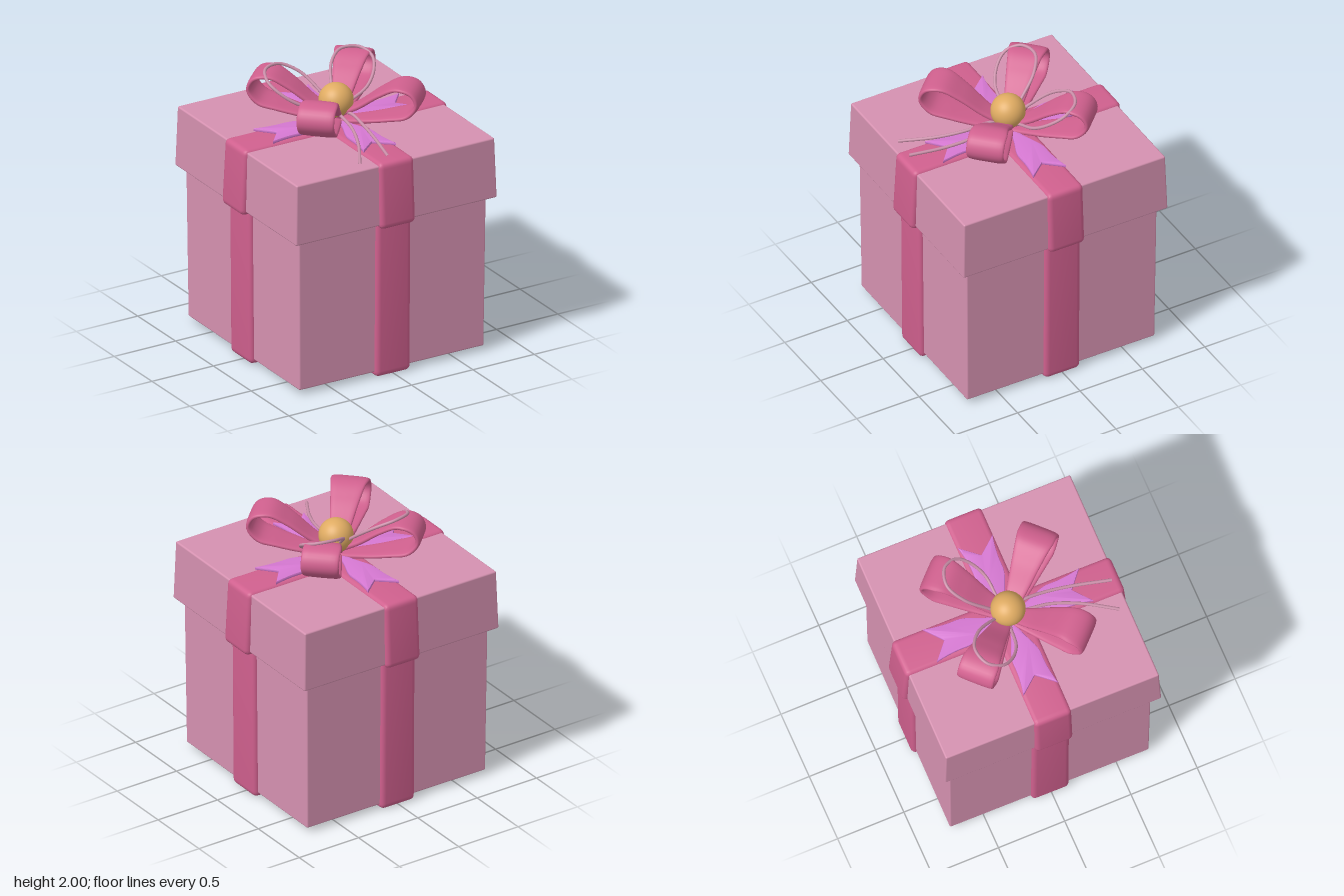
import * as THREE from 'three';
import { RoundedBoxGeometry } from 'three/addons/geometries/RoundedBoxGeometry.js';
import { toCreasedNormals } from 'three/addons/utils/BufferGeometryUtils.js';

const mat = (color) => new THREE.MeshStandardMaterial({ color, roughness: 0.7 });
const V = (x, y, z) => new THREE.Vector3(x, y, z);

function add(parent, name, geometry, material) {
  const mesh = new THREE.Mesh(geometry, material);
  mesh.name = name;
  parent.add(mesh);
  return mesh;
}

// Soft-edged box whose sides lean from one half width to another
function taperedBox(halfBottom, halfTop, y0, y1) {
  const geo = new RoundedBoxGeometry(2 * halfTop, y1 - y0, 2 * halfTop, 3, 0.012);
  geo.translate(0, (y0 + y1) / 2, 0);
  const p = geo.attributes.position;
  for (let i = 0; i < p.count; i++) {
    const t = (p.getY(i) - y0) / (y1 - y0);
    const s = THREE.MathUtils.lerp(halfBottom / halfTop, 1, t);
    p.setX(i, p.getX(i) * s);
    p.setZ(i, p.getZ(i) * s);
  }
  return geo;
}

// Trapezoid outline with rounded corners
function outline(path, hb, ht, y0, y1, r) {
  path.moveTo(-hb + r, y0);
  path.lineTo(hb - r, y0).quadraticCurveTo(hb, y0, hb, y0 + r);
  path.lineTo(ht, y1 - r).quadraticCurveTo(ht, y1, ht - r, y1);
  path.lineTo(-ht + r, y1).quadraticCurveTo(-ht, y1, -ht, y1 - r);
  path.lineTo(-hb, y0 + r).quadraticCurveTo(-hb, y0, -hb + r, y0);
  return path;
}

// Puffy ribbon band wrapped around a box
function band(hb, ht, y0, y1) {
  const shape = outline(new THREE.Shape(), hb, ht, y0, y1, 0.045);
  const i = 0.09;
  shape.holes.push(outline(new THREE.Path(), hb - i, ht - i, y0 + i, y1 - i, 0.02));
  const geo = new THREE.ExtrudeGeometry(shape, {
    depth: 0.21, curveSegments: 6, bevelEnabled: true, bevelSegments: 5,
    bevelSize: 0.03, bevelOffset: -0.03, bevelThickness: 0.035,
  });
  geo.translate(0, 0, -0.105);
  return toCreasedNormals(geo, 0.7);
}

// Bow loop: a soft flat section swept round a closed profile, widening outwards
function bowLoop() {
  const profile = [
    [0.02, 1.655], [0.2, 1.675], [0.4, 1.72], [0.54, 1.765], [0.6, 1.85],
    [0.565, 1.93], [0.46, 1.955], [0.33, 1.89], [0.18, 1.78], [0.03, 1.685],
  ];
  const curve = new THREE.CatmullRomCurve3(profile.map(([x, y]) => V(x, y, 0)), true, 'centripetal');
  const N = 72, M = 20, pos = [], idx = [];
  const soft = (v, e) => Math.sign(v) * Math.pow(Math.abs(v), e);
  for (let i = 0; i < N; i++) {
    const p = curve.getPointAt(i / N), t = curve.getTangentAt(i / N);
    const half = 0.045 + 0.09 * THREE.MathUtils.clamp(p.x / 0.5, 0, 1);
    for (let j = 0; j < M; j++) {
      const a = (j / M) * Math.PI * 2;
      const n = 0.018 * soft(Math.cos(a), 0.6), w = half * soft(Math.sin(a), 0.5);
      pos.push(p.x + t.y * n, p.y - t.x * n, w);
      const i2 = (i + 1) % N, j2 = (j + 1) % M;
      const A = i * M + j, B = i2 * M + j, C = i2 * M + j2, D = i * M + j2;
      idx.push(A, B, D, B, C, D);
    }
  }
  const geo = new THREE.BufferGeometry();
  geo.setAttribute('position', new THREE.Float32BufferAttribute(pos, 3));
  geo.setIndex(idx);
  geo.computeVertexNormals();
  return geo;
}

// Flat swallow-tailed ribbon end pointing along +x
function ribbonTail() {
  const s = new THREE.Shape();
  s.moveTo(0.03, -0.02);
  s.bezierCurveTo(0.2, -0.03, 0.25, -0.11, 0.36, -0.105);
  s.quadraticCurveTo(0.46, -0.1, 0.59, -0.13);
  s.quadraticCurveTo(0.53, -0.06, 0.48, 0);
  s.quadraticCurveTo(0.53, 0.06, 0.59, 0.13);
  s.quadraticCurveTo(0.46, 0.1, 0.36, 0.105);
  s.bezierCurveTo(0.25, 0.11, 0.2, 0.03, 0.03, 0.02);
  s.closePath();
  const geo = new THREE.ExtrudeGeometry(s, {
    depth: 0.012, curveSegments: 10, bevelEnabled: true, bevelSegments: 2,
    bevelSize: 0.008, bevelOffset: -0.008, bevelThickness: 0.006,
  });
  geo.rotateX(-Math.PI / 2).translate(0, 1.641, 0);
  return toCreasedNormals(geo, 0.7);
}

function cord(points) {
  const curve = new THREE.CatmullRomCurve3(points.map((p) => V(...p)));
  return new THREE.TubeGeometry(curve, 64, 0.0115, 10);
}

export function createModel() {
  const model = new THREE.Group();
  model.name = 'giftBox';
  model.rotation.y = -0.009;

  const paper = mat(0xd591b0), ribbon = mat(0xd0608e), purple = mat(0xd678d2);
  const gold = mat(0xdfab62), string = mat(0xc98ea8);

  // Box and lid
  add(model, 'boxBody', taperedBox(0.748, 0.76, 0.035, 1.25), paper);
  add(model, 'lid', taperedBox(0.815, 0.802, 1.17, 1.62), paper);

  // Crossed ribbon bands, the second a hair larger so the crossings stay clean
  for (let k = 0; k < 2; k++) {
    const e = k * 0.003;
    add(model, 'bodyRibbon', band(0.778, 0.788, 0.003 - e, 1.4), ribbon).rotation.y = k * Math.PI / 2;
    add(model, 'lidRibbon', band(0.848, 0.825, 1.145, 1.636 + e), ribbon).rotation.y = k * Math.PI / 2;
  }

  // Bow: four diagonal loops over four ribbon tails
  const bow = new THREE.Group();
  bow.name = 'bow';
  model.add(bow);
  const loopGeo = bowLoop(), tailGeo = ribbonTail();
  for (let k = 0; k < 4; k++) {
    add(bow, 'bowLoop', loopGeo, ribbon).rotation.y = Math.PI / 4 + k * Math.PI / 2;
    add(bow, 'ribbonTail', tailGeo, purple).rotation.y = k * Math.PI / 2;
  }

  // Round bead in the middle
  add(bow, 'bead', new THREE.SphereGeometry(0.123, 40, 28), gold).position.set(0, 1.79, 0);

  // Thin cord: two raised loops and two loose ends
  for (const s of [-1, 1]) {
    add(bow, 'cordLoop', cord([
      [0, 1.7, 0], [s * 0.12, 1.735, -0.03], [s * 0.28, 1.8, -0.055], [s * 0.385, 1.88, -0.13],
      [s * 0.425, 1.945, -0.22], [s * 0.38, 1.985, -0.32], [s * 0.25, 1.987, -0.355],
      [s * 0.13, 1.93, -0.28], [s * 0.05, 1.82, -0.14], [0, 1.7, 0],
    ]), string);
  }
  add(bow, 'cordEnd', cord([
    [0, 1.7, 0], [-0.03, 1.715, 0.13], [-0.05, 1.695, 0.3], [-0.12, 1.665, 0.5], [-0.25, 1.632, 0.735],
  ]), string);
  add(bow, 'cordEnd', cord([
    [0, 1.7, 0], [0.04, 1.725, 0.13], [0.045, 1.695, 0.3], [0.02, 1.672, 0.5], [-0.04, 1.66, 0.765],
  ]), string);

  return model;
}
